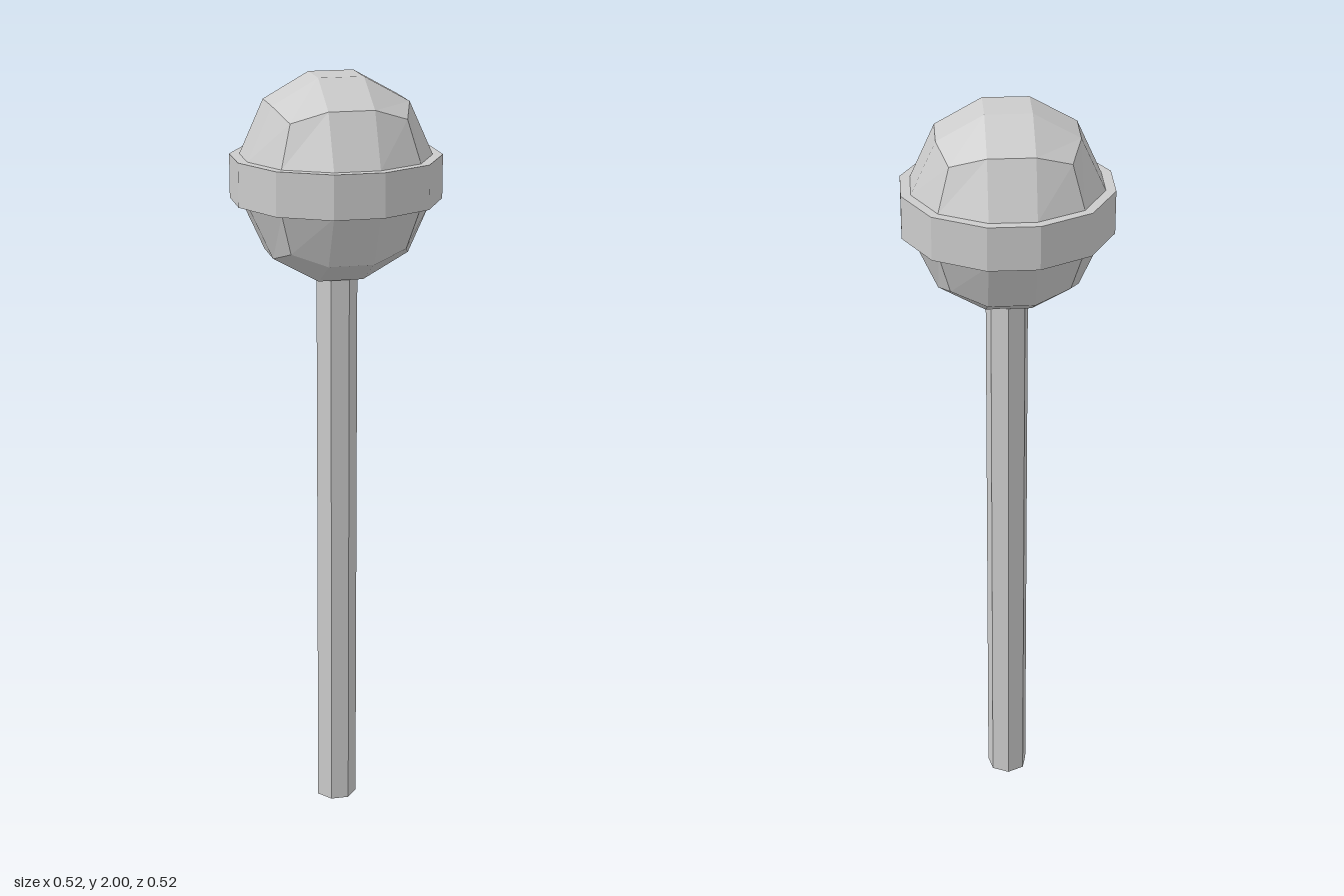
import * as THREE from 'three';

const HEAD_Y = 1.743; // centre height of the head
const BAND_HALF = 0.056; // half height of the band

// Cube of 3 x 3 quads per side, rounded into a ball
function ballGeometry() {
  const geo = new THREE.BoxGeometry(2, 2, 2, 3, 3, 3);
  const pos = geo.attributes.position;
  // reach of an outer coordinate for face, edge and corner points
  const reach = [0, 0.237, 0.175, 0.147];
  const reachY = [0, 0.257, 0.192, 0.162];
  for (let i = 0; i < pos.count; i++) {
    const p = [pos.getX(i), pos.getY(i), pos.getZ(i)];
    const outer = p.filter((v) => Math.abs(v) > 0.9).length;
    const q = p.map((v, axis) => {
      const isY = axis === 1;
      const size = Math.abs(v) > 0.9 ? (isY ? reachY : reach)[outer] : isY ? BAND_HALF : 0.058;
      return Math.sign(v) * size;
    });
    pos.setXYZ(i, ...q);
  }
  geo.computeVertexNormals();
  return geo;
}

// Twelve-sided outline matching the ball's waist
function waistPoints(scale) {
  const points = [];
  const quarter = [[0.237, -0.0575], [0.237, 0.0575], [0.174, 0.174]];
  for (let i = 0; i < 4; i++) {
    for (const [x, y] of quarter) {
      points.push(new THREE.Vector2(x * scale, y * scale).rotateAround(new THREE.Vector2(), (i * Math.PI) / 2));
    }
  }
  return points;
}

export function createModel() {
  const group = new THREE.Group();
  const material = new THREE.MeshStandardMaterial({ color: 0xcccccc, flatShading: true });
  const add = (name, geometry, y) => {
    const mesh = new THREE.Mesh(geometry, material);
    mesh.name = name;
    mesh.position.y = y;
    group.add(mesh);
  };

  // Seven-sided stick with a flat side to the front
  const stickTop = 1.5;
  add('stick', new THREE.CylinderGeometry(0.055, 0.055, stickTop, 7, 1, false, Math.PI), stickTop / 2);

  // Faceted head
  add('head', ballGeometry(), HEAD_Y);

  // Raised band around the waist
  const outline = new THREE.Shape(waistPoints(1.105));
  outline.holes.push(new THREE.Path(waistPoints(0.99)));
  const band = new THREE.ExtrudeGeometry(outline, { depth: BAND_HALF * 2, bevelEnabled: false });
  band.rotateX(-Math.PI / 2);
  add('band', band, HEAD_Y - BAND_HALF);

  return group;
}
